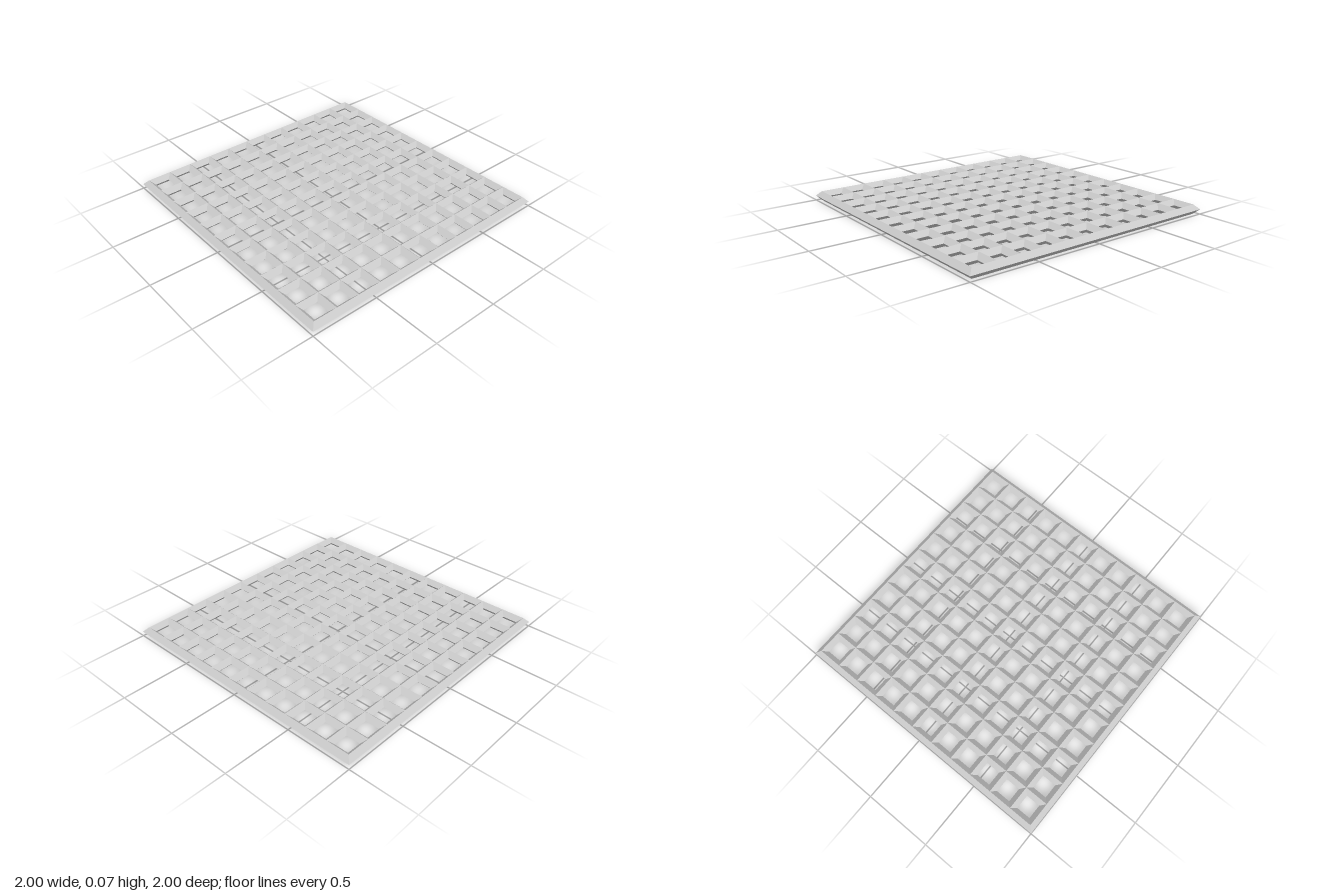
import * as THREE from 'three';
import { mergeGeometries } from 'three/addons/utils/BufferGeometryUtils.js';

const CELLS = 11;              // openings per side
const PITCH = 2 / 11.4;        // spacing of the bar ridges
const H = PITCH * 0.2;         // half width and half height of a diamond bar

// Square ring of sloped faces; each profile entry is [half side, height].
// A rising profile faces outward, a falling one faces inward.
function squareRing(profile) {
  const points = profile.map(([half, y]) => new THREE.Vector2(half * Math.SQRT2, y));
  return new THREE.LatheGeometry(points, 4, Math.PI / 4);
}

export function createModel() {
  const group = new THREE.Group();
  group.name = 'latticeGrid';
  const material = new THREE.MeshStandardMaterial({ color: 0xcccccc, flatShading: true });

  // Outer sides of the frame, pointed at mid height with mitred corners
  const ridge = CELLS * PITCH / 2;
  const rim = new THREE.Mesh(squareRing([[ridge, 0], [ridge + H, H], [ridge, 2 * H]]), material);
  rim.name = 'outerFrame';
  group.add(rim);

  // Inner bar faces: one opening per cell, neighbours meeting at sharp ridges
  const opening = squareRing([[PITCH / 2, 2 * H], [PITCH / 2 - H, H], [PITCH / 2, 0]]);
  const openings = [];
  const centre = (i) => (i - (CELLS - 1) / 2) * PITCH;
  for (let i = 0; i < CELLS; i++) {
    for (let j = 0; j < CELLS; j++) {
      openings.push(opening.clone().translate(centre(i), 0, centre(j)));
    }
  }
  const bars = new THREE.Mesh(mergeGeometries(openings), material);
  bars.name = 'latticeBars';
  group.add(bars);

  return group;
}
